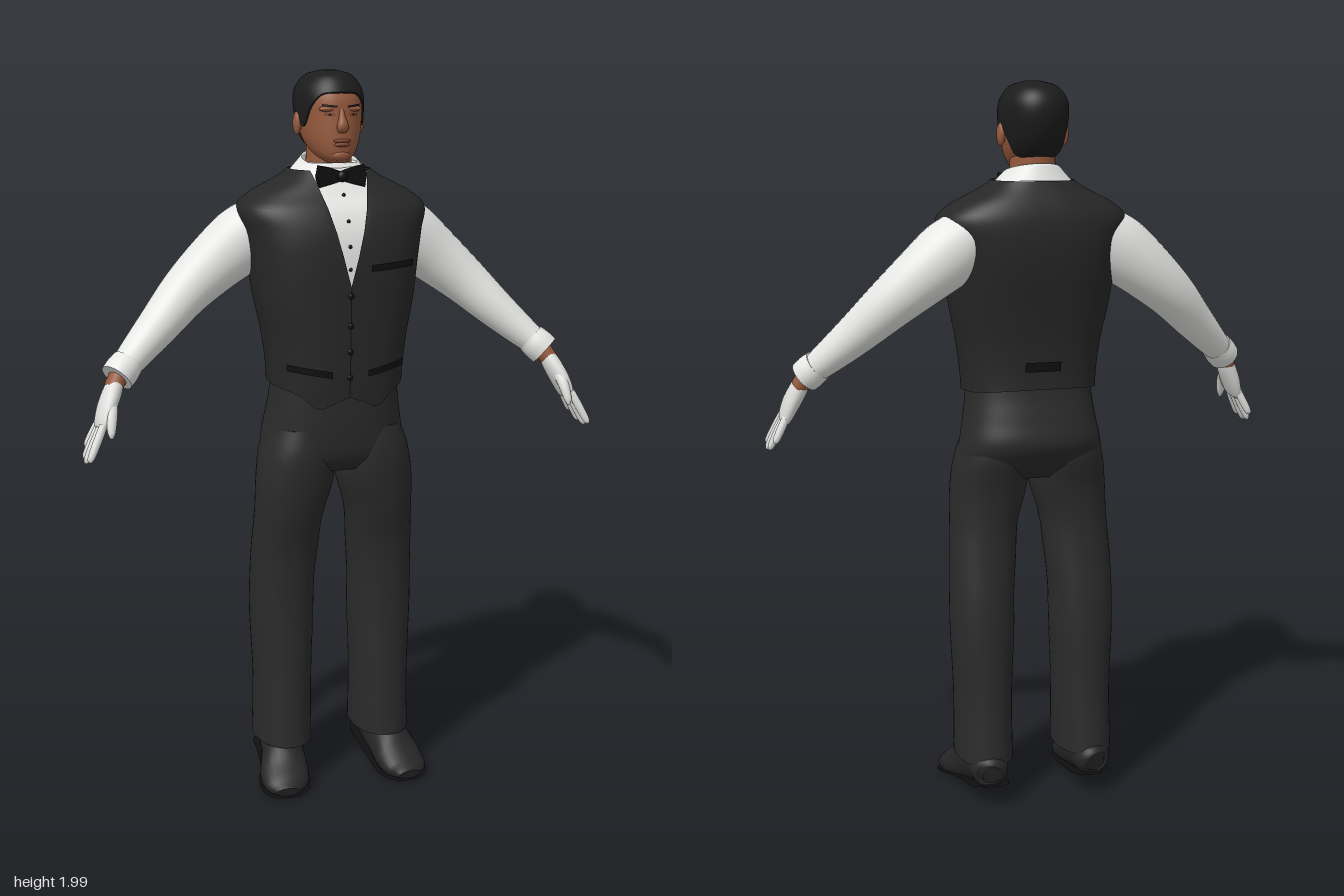
import * as THREE from 'three';

const lerp = THREE.MathUtils.lerp;
const mat = (name, color, side = THREE.FrontSide) => new THREE.MeshStandardMaterial({ name, color, side });

// Smooth interpolation of rows [key, ...values] sorted by key
function at(rows, y) {
  const n = rows.length;
  y = Math.min(Math.max(y, rows[0][0]), rows[n - 1][0]);
  let i = 0;
  while (i < n - 2 && y > rows[i + 1][0]) i++;
  const A = rows[i], B = rows[i + 1], P = rows[Math.max(i - 1, 0)], N = rows[Math.min(i + 2, n - 1)];
  const h = B[0] - A[0], t = (y - A[0]) / h, t2 = t * t, t3 = t2 * t;
  return A.map((a, k) => {
    const ma = (B[k] - P[k]) / (B[0] - P[0]) * h, mb = (N[k] - A[k]) / (N[0] - A[0]) * h;
    return (2 * t3 - 3 * t2 + 1) * a + (t3 - 2 * t2 + t) * ma + (3 * t2 - 2 * t3) * B[k] + (t3 - t2) * mb;
  });
}

// Surface from rows of points fn(u, v); optional flat end caps
function grid(fn, nu, nv, closed = true, cap = false) {
  const rows = [], w = closed ? nu : nu + 1;
  for (let j = 0; j <= nv; j++) rows.push(Array.from({ length: w }, (_, i) => fn(i / nu, j / nv)));
  if (cap) {
    const middle = r => { const c = [0, 1, 2].map(k => r.reduce((s, p) => s + p[k], 0) / w); return r.map(() => c); };
    const a = rows[0], b = rows[nv];
    rows.unshift(middle(a), a);
    rows.push(b, middle(b));
  }
  const index = [];
  for (let j = 0; j < rows.length - 1; j++) for (let i = 0; i < nu; i++) {
    const k = (i + 1) % w, a = j * w + i, b = j * w + k, c = b + w, d = a + w;
    index.push(a, b, c, a, c, d);
  }
  const g = new THREE.BufferGeometry();
  g.setAttribute('position', new THREE.Float32BufferAttribute(rows.flat(2), 3));
  g.setIndex(index);
  g.computeVertexNormals();
  return g;
}

// Upright body surface: rows are [y, centreX, halfWidth, frontZ, backZ]; angle 0 is the front
const pw = (v, p) => Math.sign(v) * Math.abs(v) ** (2 / p);
function ring(rows, p, off, th, y) {
  const [, cx, rx, zf, zb] = at(rows, y);
  return [cx + (rx + off) * pw(Math.sin(th), p), y, (zf + zb) / 2 + ((zf - zb) / 2 + off) * pw(Math.cos(th), p)];
}
const loft = (rows, p, nu, nv) => grid((u, v) =>
  ring(rows, p, 0, u * Math.PI * 2, lerp(rows[0][0], rows[rows.length - 1][0], v)), nu, nv, true, true);

// Point on a body surface, and a thin strip lying on it
function onSurface(rows, p, off, x, y, back) {
  const [, , rx, zf, zb] = at(rows, y);
  const d = ((zf - zb) / 2 + off) * Math.max(0, 1 - Math.abs(x / (rx + off)) ** p) ** (1 / p);
  return [x, y, (zf + zb) / 2 + (back ? -d : d)];
}
const strip = (rows, p, off, x0, x1, ya, yb, h, back = false) => grid((u, v) =>
  onSurface(rows, p, off, lerp(x0, x1, u), lerp(ya, yb, u) + (v - 0.5) * h, back), 10, 12, false);

// Limb along points [x, y, z, radiusA, radiusB]; radiusB lies along ref
function limb(pts, ref = [0, 0, 1], nu = 24, nv = 30) {
  const path = new THREE.CatmullRomCurve3(pts.map(p => new THREE.Vector3(p[0], p[1], p[2])), false, 'catmullrom');
  const rad = new THREE.CatmullRomCurve3(pts.map(p => new THREE.Vector3(p[3], p[4], 0)), false, 'catmullrom');
  return grid((u, v) => {
    const c = path.getPoint(v), t = path.getTangent(v), r = rad.getPoint(v), th = u * Math.PI * 2;
    const b = new THREE.Vector3(...ref).addScaledVector(t, -t.dot(new THREE.Vector3(...ref))).normalize();
    const a = b.clone().cross(t);
    return c.addScaledVector(a, r.x * Math.cos(th)).addScaledVector(b, r.y * Math.sin(th)).toArray();
  }, nu, nv, true, true);
}

function ball(x, y, z, rx, ry, rz) {
  return new THREE.SphereGeometry(1, 20, 14).scale(rx, ry, rz).translate(x, y, z);
}

function mirrored(geo) {
  const g = geo.clone().scale(-1, 1, 1), ix = g.index.array;
  for (let i = 0; i < ix.length; i += 3) [ix[i], ix[i + 1]] = [ix[i + 1], ix[i]];
  g.computeVertexNormals();
  return g;
}

const TORSO = [[1.1, 0, 0.176, 0.143, -0.128], [1.2, 0, 0.178, 0.15, -0.118], [1.3, 0, 0.19, 0.154, -0.122],
  [1.4, 0, 0.21, 0.158, -0.138], [1.5, 0, 0.224, 0.16, -0.158], [1.58, 0, 0.238, 0.152, -0.167],
  [1.64, 0, 0.25, 0.13, -0.163], [1.68, 0, 0.205, 0.1, -0.15], [1.72, 0, 0.125, 0.075, -0.128], [1.76, 0, 0.075, 0.05, -0.105]];
const HIPS = [[0.93, 0, 0.2, 0.1, -0.07], [0.97, 0, 0.208, 0.125, -0.105], [1.03, 0, 0.197, 0.135, -0.143],
  [1.1, 0, 0.184, 0.139, -0.13], [1.16, 0, 0.176, 0.139, -0.115], [1.23, 0, 0.168, 0.135, -0.105]];
const LEG = [[0.125, 0.147, 0.08, 0.1, -0.148], [0.3, 0.146, 0.08, 0.09, -0.13], [0.5, 0.146, 0.089, 0.08, -0.12],
  [0.6, 0.145, 0.09, 0.08, -0.11], [0.7, 0.139, 0.093, 0.086, -0.095], [0.8, 0.131, 0.095, 0.108, -0.085],
  [0.9, 0.115, 0.107, 0.125, -0.09], [0.98, 0.108, 0.102, 0.13, -0.108], [1.05, 0.1, 0.085, 0.12, -0.11]];
const HEAD = [[1.762, 0, 0.026, 0.074, 0], [1.78, 0, 0.05, 0.084, -0.055], [1.81, 0, 0.068, 0.088, -0.1],
  [1.84, 0, 0.077, 0.088, -0.125], [1.88, 0, 0.083, 0.086, -0.143], [1.92, 0, 0.086, 0.084, -0.15],
  [1.95, 0, 0.081, 0.073, -0.145], [1.975, 0, 0.064, 0.056, -0.127], [1.988, 0, 0.044, 0.036, -0.1], [1.995, 0, 0.014, 0.005, -0.06]];
const NECK = [[1.69, 0, 0.072, 0.045, -0.105], [1.75, 0, 0.062, 0.042, -0.1], [1.83, 0, 0.06, 0.045, -0.1]];
const HAIRLINE = [[0, 1.945], [0.55, 1.94], [0.9, 1.91], [1.2, 1.865], [1.4, 1.855], [1.6, 1.885], [1.9, 1.85], [2.2, 1.81], [3.15, 1.797]];

export function createModel() {
  const model = new THREE.Group();
  model.name = 'waiter';
  const skin = mat('skin', 0x965a3e), lip = mat('lips', 0x7c4435), hairMat = mat('hair', 0x1c1c1c);
  const shirt = mat('shirt white', 0xe6e6e4, THREE.DoubleSide), glove = mat('glove white', 0xdededc);
  const vestMat = mat('vest charcoal', 0x272727, THREE.DoubleSide), cloth = mat('trouser charcoal', 0x2a2a2a);
  const trim = mat('black trim', 0x0f0f0f), leather = mat('shoe leather', 0x262626);
  const add = (name, geo, m) => {
    const mesh = new THREE.Mesh(geo, m);
    mesh.name = name;
    model.add(mesh);
  };
  const pair = (name, geo, m) => {
    add(name + 'Left', geo, m);
    add(name + 'Right', mirrored(geo), m);
  };

  // Trousers
  add('hips', loft(HIPS, 2.4, 64, 24), cloth);
  pair('trouserLeg', loft(LEG, 2.2, 40, 48), cloth);

  // Shoes: rounded uppers flattened on a sloping sole
  const shoe = (grow, lo, hi) => {
    const g = limb([[0.155, 0.1, -0.147, 0.025, 0.028], [0.152, 0.105, -0.128, 0.05, 0.05], [0.152, 0.11, -0.05, 0.055, 0.07],
      [0.16, 0.085, 0.03, 0.06, 0.068], [0.172, 0.052, 0.09, 0.069, 0.05], [0.18, 0.034, 0.14, 0.061, 0.032],
      [0.182, 0.025, 0.168, 0.034, 0.014]].map(p => [p[0], p[1], p[2], p[3] + grow, p[4]]), [0, 1, 0]);
    const p = g.attributes.position;
    for (let i = 0; i < p.count; i++) {
      const s = 0.006 + Math.max(0, 0.17 - p.getZ(i)) * 0.18;
      p.setY(i, Math.min(Math.max(p.getY(i), s + lo), s + hi));
    }
    g.computeVertexNormals();
    return g;
  };
  pair('shoe', shoe(0, 0, 1), leather);
  pair('shoeSole', shoe(0.003, -0.006, 0.004), trim);

  // Shirt body, then vest with V neck and pointed hem
  add('shirtBody', loft(TORSO.slice(2), 2.6, 80, 40), shirt);
  const hem = [[0, 1.145], [0.04, 1.13], [0.085, 1.115], [0.13, 1.15], [0.19, 1.172], [0.3, 1.175]];
  add('vest', grid((u, v) => {
    const th = u * Math.PI * 2, front = Math.cos(th) > 0;
    let top = front ? 1.44 : 1.738;
    if (front) for (let k = 0; k < 40; k++) {
      const x = Math.abs(ring(TORSO, 2.6, 0.008, th, top)[0]);
      top += 0.15 * (Math.min(1.738, 1.44 + x * 3.8) - top);
    }
    const low = front ? at(hem, Math.abs(ring(TORSO, 2.6, 0.008, th, 1.15)[0]))[1] : 1.175 + 0.012 * Math.cos(th) ** 2;
    const p = ring(TORSO, 2.6, 0.008, th, lerp(low, top, v));
    p[1] += 0.005 * v;
    return p;
  }, 144, 60), vestMat);

  // Vest pockets, front seam, back strap and buttons
  add('breastPocket', strip(TORSO, 2.6, 0.014, 0.055, 0.185, 1.493, 1.5, 0.018), trim);
  pair('waistPocket', strip(TORSO, 2.6, 0.014, 0.05, 0.165, 1.21, 1.23, 0.018), trim);
  add('frontSeam', strip(TORSO, 2.6, 0.0095, -0.0015, 0.0015, 1.295, 1.295, 0.29), trim);
  add('backStrap', strip(TORSO, 2.6, 0.014, 0.05, -0.05, 1.25, 1.25, 0.026, true), trim);
  for (const y of [1.42, 1.34, 1.27, 1.2])
    add('vestButton', ball(...onSurface(TORSO, 2.6, 0.009, 0, y), 0.008, 0.008, 0.004), trim);
  for (const y of [1.68, 1.615, 1.55, 1.49])
    add('shirtButton', ball(...onSurface(TORSO, 2.6, 0, 0, y), 0.005, 0.005, 0.004), trim);

  // Folded collar and bow tie
  add('collar', grid((u, v) => {
    const th = u * Math.PI * 2, c = Math.cos(th), s = Math.sin(th), k = Math.abs(v * 2 - 1);
    const out = v < 0.5 ? k : -0.15 * k;
    return [s * (0.075 + 0.038 * out), lerp(1.768 - 0.02 * c, 1.73 - 0.015 * c, k), -0.022 + c * (0.085 + 0.018 * out)];
  }, 64, 12), shirt);
  const bow = new THREE.Shape([[0, 0.01], [0.035, 0.022], [0.062, 0.027], [0.067, 0], [0.062, -0.027], [0.035, -0.02], [0, -0.01],
    [-0.035, -0.02], [-0.062, -0.027], [-0.067, 0], [-0.062, 0.027], [-0.035, 0.022]].map(p => new THREE.Vector2(...p)));
  add('bowTie', new THREE.ExtrudeGeometry(bow, { depth: 0.014, bevelSize: 0.002, bevelThickness: 0.004, bevelSegments: 2 })
    .translate(0, 1.728, 0.072), trim);
  add('bowKnot', ball(0, 1.728, 0.088, 0.014, 0.015, 0.012), trim);

  // Sleeves, cuffs and wrists
  pair('sleeve', limb([[0.18, 1.6, -0.05, 0.08, 0.085], [0.24, 1.553, -0.055, 0.09, 0.085], [0.32, 1.49, -0.055, 0.08, 0.078],
    [0.4, 1.422, -0.04, 0.068, 0.07], [0.48, 1.345, -0.005, 0.056, 0.06], [0.55, 1.28, 0.03, 0.045, 0.05],
    [0.6, 1.235, 0.06, 0.036, 0.042]], [0, 0, 1], 32, 40), shirt);
  pair('cuff', limb([[0.578, 1.256, 0.046, 0.043, 0.046], [0.595, 1.239, 0.057, 0.046, 0.049], [0.612, 1.222, 0.067, 0.045, 0.048]], [0, 0, 1], 28, 8), shirt);
  pair('wrist', limb([[0.6, 1.235, 0.06, 0.026, 0.03], [0.626, 1.196, 0.077, 0.024, 0.031]], [0, 0, 1], 20, 4), skin);

  // Gloved hands
  pair('palm', limb([[0.618, 1.208, 0.073, 0.022, 0.029], [0.63, 1.183, 0.083, 0.025, 0.037], [0.648, 1.145, 0.097, 0.024, 0.045],
    [0.663, 1.108, 0.108, 0.018, 0.044], [0.668, 1.096, 0.111, 0.009, 0.036]]), glove);
  [0.03, 0.04, 0.035, 0.012].forEach((reach, i) => {
    const o = (1.5 - i) * 0.022, x = 0.663, y = 1.115, z = 0.108 + o;
    const tip = [0.694 + reach * 0.45, 1.055 - reach, 0.116 + o * 1.55];
    const p = k => [lerp(x, tip[0], k), lerp(y, tip[1], k), lerp(z, tip[2], k)];
    pair('finger' + (i + 1), limb([[...p(0), 0.011, 0.011], [...p(0.5), 0.0115, 0.0115], [...p(0.88), 0.0095, 0.0095],
      [...p(1), 0.004, 0.004]], [0, 0, 1], 12, 12), glove);
  });
  pair('thumb', limb([[0.632, 1.175, 0.1, 0.014, 0.014], [0.64, 1.14, 0.135, 0.015, 0.015], [0.646, 1.1, 0.157, 0.011, 0.011],
    [0.647, 1.082, 0.163, 0.004, 0.004]], [1, 0, 0], 14, 16), glove);

  // Head, neck and hair
  add('neck', loft(NECK, 2, 32, 10), skin);
  add('head', loft(HEAD, 2.15, 64, 56), skin);
  add('hair', grid((u, v) => {
    const th = u * Math.PI * 2, low = at(HAIRLINE, Math.min(th, Math.PI * 2 - th))[1];
    const p = ring(HEAD, 2.15, 0.005, th, lerp(low, 1.995, 1 - (1 - v) ** 1.6));
    p[1] += 0.005 * v;
    return p;
  }, 96, 30, true, true), hairMat);

  // Face
  pair('ear', ball(0.088, 1.862, -0.03, 0.011, 0.031, 0.02), skin);
  add('nose', limb([[0, 1.905, 0.076, 0.007, 0.008], [0, 1.88, 0.086, 0.009, 0.01], [0, 1.857, 0.092, 0.016, 0.013],
    [0, 1.843, 0.086, 0.012, 0.008]], [0, 0, 1], 18, 14), skin);
  pair('browRidge', ball(0.033, 1.902, 0.071, 0.026, 0.008, 0.013), skin);
  pair('eyebrow', strip(HEAD, 2.15, 0.0075, 0.014, 0.052, 1.908, 1.912, 0.005), hairMat);
  pair('eye', strip(HEAD, 2.15, 0.002, 0.02, 0.045, 1.887, 1.887, 0.007), lip);
  pair('pupil', strip(HEAD, 2.15, 0.003, 0.029, 0.036, 1.887, 1.887, 0.006), trim);
  add('upperLip', ball(0, 1.82, 0.087, 0.025, 0.005, 0.007), lip);
  add('lowerLip', ball(0, 1.81, 0.086, 0.022, 0.006, 0.008), lip);
  add('chin', ball(0, 1.782, 0.073, 0.026, 0.016, 0.016), skin);
  return model;
}
